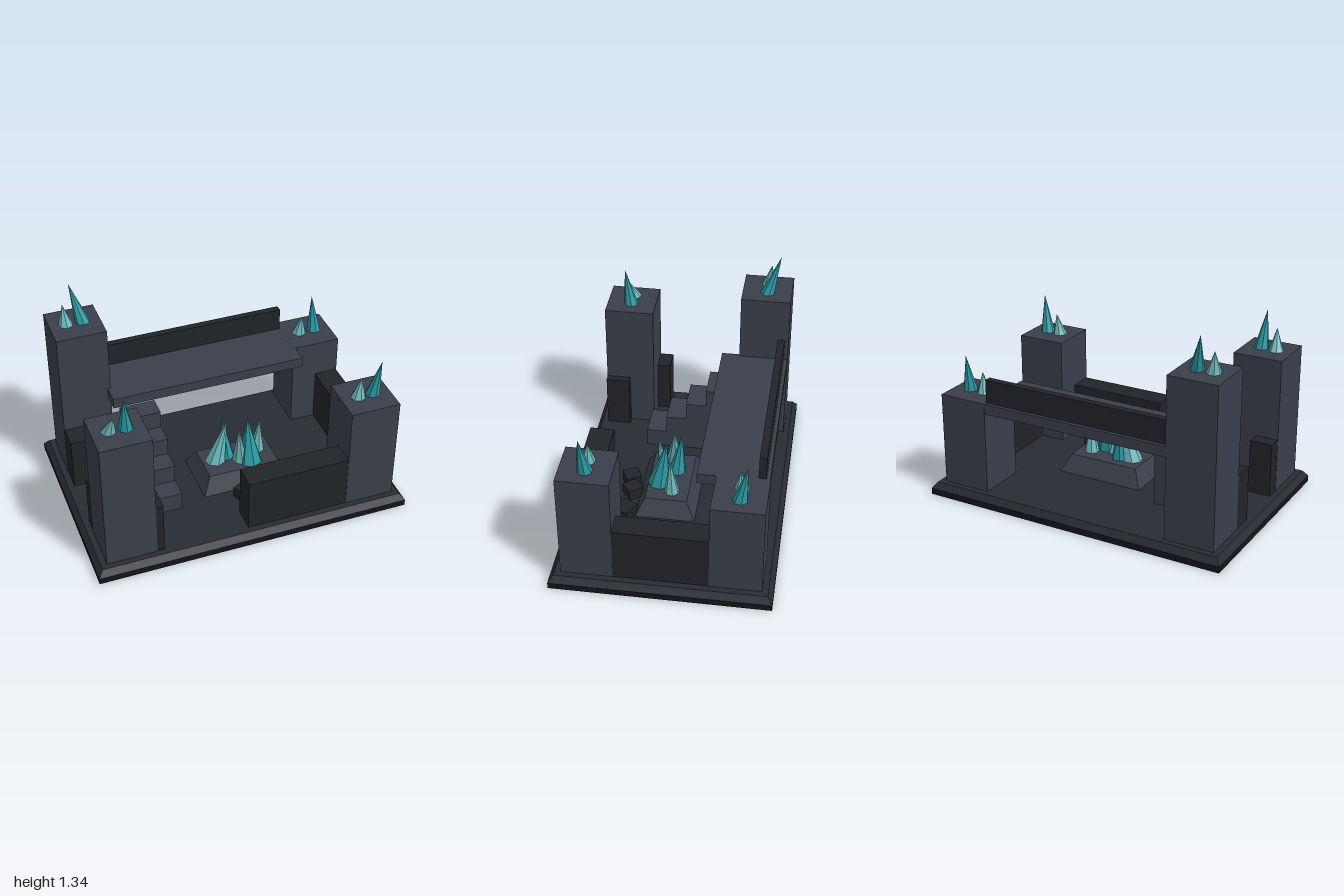
import * as THREE from 'three';

const mat = (color) => new THREE.MeshStandardMaterial({ color, flatShading: true });

export function createModel() {
  const model = new THREE.Group();
  const plinthMat = mat(0x141518), floorMat = mat(0x272b33), stoneMat = mat(0x3a3f4a);
  const wallMat = mat(0x212428), paleMat = mat(0x6fb9bd), tealMat = mat(0x2a98a3);

  const add = (name, geometry, material, parent = model) => {
    const mesh = new THREE.Mesh(geometry, material);
    mesh.name = name;
    parent.add(mesh);
    return mesh;
  };

  // Box given by its extents
  const block = (name, material, [x0, x1], [y0, y1], [z0, z1], parent) => {
    const mesh = add(name, new THREE.BoxGeometry(x1 - x0, y1 - y0, z1 - z0), material, parent);
    mesh.position.set((x0 + x1) / 2, (y0 + y1) / 2, (z0 + z1) / 2);
    return mesh;
  };

  // Box whose top edges are drawn in by an inset
  const taperedBlock = (name, material, xs, ys, zs, inset) => {
    const mesh = block(name, material, xs, ys, zs);
    const p = mesh.geometry.attributes.position;
    for (let i = 0; i < p.count; i++) {
      if (p.getY(i) < 0) continue;
      p.setX(i, p.getX(i) - Math.sign(p.getX(i)) * inset);
      p.setZ(i, p.getZ(i) - Math.sign(p.getZ(i)) * inset);
    }
    mesh.geometry.computeVertexNormals();
    return mesh;
  };

  // Leaning crystal: level base, tip shifted sideways
  const crystal = (name, material, [x, y, z], tip, radius, parent) => {
    const h = tip[1] - y;
    const geo = new THREE.ConeGeometry(radius, h, 7, 1);
    geo.translate(0, h / 2, 0);
    const p = geo.attributes.position;
    for (let i = 0; i < p.count; i++) {
      const t = p.getY(i) / h;
      p.setX(i, p.getX(i) + (tip[0] - x) * t);
      p.setZ(i, p.getZ(i) + (tip[2] - z) * t);
    }
    geo.computeVertexNormals();
    add(name, geo, material, parent).position.set(x, y, z);
  };

  // Base
  block('plinth', plinthMat, [-1, 1], [0, 0.04], [-0.667, 0.667]);
  taperedBlock('floor', floorMat, [-1, 1], [0.04, 0.08], [-0.667, 0.667], 0.03);

  // Corner towers, each with a pale and a teal crystal
  const towers = [
    { name: 'backRightTower', sx: -1, sz: -1, top: 1.10,
      pale: [-0.83, -0.445, -0.84, 1.235, -0.46], teal: [-0.725, -0.445, -0.78, 1.335, -0.52] },
    { name: 'frontRightTower', sx: -1, sz: 1, top: 0.94,
      pale: [-0.83, 0.44, -0.81, 1.07, 0.49], teal: [-0.73, 0.445, -0.745, 1.18, 0.485] },
    { name: 'backLeftTower', sx: 1, sz: -1, top: 0.67,
      pale: [0.72, -0.445, 0.735, 0.8, -0.435], teal: [0.825, -0.445, 0.82, 0.905, -0.485] },
    { name: 'frontLeftTower', sx: 1, sz: 1, top: 0.775,
      pale: [0.725, 0.445, 0.745, 0.91, 0.44], teal: [0.82, 0.445, 0.855, 1.02, 0.47] },
  ];
  for (const { name, sx, sz, top, pale, teal } of towers) {
    const tower = new THREE.Group();
    tower.name = name;
    model.add(tower);
    const xs = sx > 0 ? [0.617, 0.932] : [-0.932, -0.617];
    const zs = sz > 0 ? [0.285, 0.6] : [-0.6, -0.285];
    block('towerShaft', stoneMat, xs, [0.08, top], zs, tower);
    for (const [c, m, label] of [[pale, paleMat, 'paleCrystal'], [teal, tealMat, 'tealCrystal']]) {
      crystal(label, m, [c[0], top, c[1]], c.slice(2), 0.046, tower);
    }
  }

  // Low walls and broken wall stubs
  const wallY = [0.08, 0.425];
  block('leftWall', wallMat, [0.78, 0.93], wallY, [-0.285, 0.285]);
  block('frontWall', wallMat, [-0.033, 0.617], wallY, [0.445, 0.598]);
  block('frontWallStub', wallMat, [-0.617, -0.57], wallY, [0.445, 0.598]);
  block('rightWallBackStub', wallMat, [-0.93, -0.785], wallY, [-0.285, -0.14]);
  block('rightWallFrontStub', wallMat, [-0.93, -0.785], wallY, [0.2, 0.285]);

  // Bridge between the back towers
  block('bridgeDeck', stoneMat, [-0.635, 0.63], [0.603, 0.669], [-0.598, -0.17]);
  block('bridgeParapet', wallMat, [-0.617, 0.617], [0.669, 0.818], [-0.575, -0.53]);

  // Stairs up to the bridge
  for (let i = 0; i < 4; i++) {
    const front = 0.29 - i * 0.13;
    block('stairStep', stoneMat, [-0.582, -0.355], [0.08, 0.198 + i * 0.117], [front - 0.13, front]);
  }

  // Pedestal with its crystal cluster
  taperedBlock('pedestal', stoneMat, [-0.19, 0.382], [0.08, 0.19], [-0.125, 0.248], 0.055);
  const cluster = new THREE.Group();
  cluster.name = 'crystalCluster';
  model.add(cluster);
  const clusterData = [
    [paleMat, -0.05, 0.05, [0.03, 0.485, 0.05], 0.065],
    [tealMat, 0.03, 0.03, [0.015, 0.47, 0.0], 0.055],
    [paleMat, 0.1, 0.1, [0.075, 0.475, 0.14], 0.05],
    [tealMat, 0.16, 0.125, [0.155, 0.5, 0.08], 0.075],
    [paleMat, 0.24, 0.035, [0.25, 0.44, 0.045], 0.048],
  ];
  for (const [m, x, z, tip, r] of clusterData) {
    crystal('clusterCrystal', m, [x, 0.19, z], tip, r, cluster);
  }

  // Fallen rubble behind the front wall
  for (const [x, z, size, turn] of [[0.05, 0.32, 0.1, 0.45], [0.17, 0.295, 0.1, 0.65], [0.372, 0.312, 0.115, -0.45]]) {
    const rubble = add('rubble', new THREE.BoxGeometry(size, 0.07, size), wallMat);
    rubble.position.set(x, 0.115, z);
    rubble.rotation.y = turn;
  }

  return model;
}
